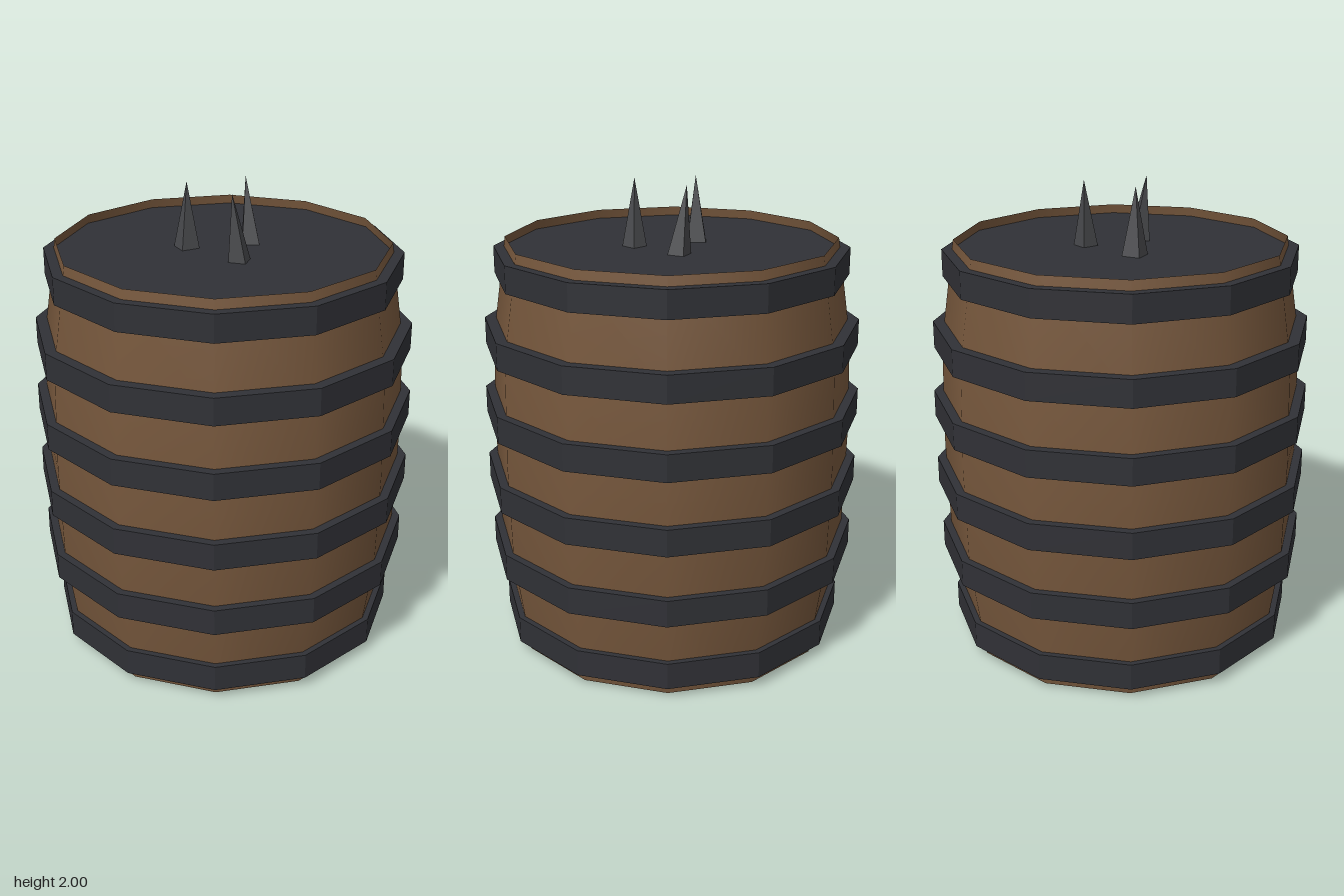
import * as THREE from 'three';

const SIDES = 12;

export function createModel() {
  const group = new THREE.Group();
  const wood = new THREE.MeshStandardMaterial({ color: 0x76573c, side: THREE.DoubleSide });
  const iron = new THREE.MeshStandardMaterial({ color: 0x303136, flatShading: true });
  const spikeMetal = new THREE.MeshStandardMaterial({ color: 0x48494c, flatShading: true });

  const add = (name, geometry, material, y = 0) => {
    const mesh = new THREE.Mesh(geometry, material);
    mesh.name = name;
    mesh.position.y = y;
    group.add(mesh);
    return mesh;
  };

  // Bulging wooden wall, open at the top so its rim stands above the lid
  const profile = [[0.70, 0], [0.765, 0.44], [0.775, 0.88], [0.765, 1.32], [0.70, 1.76]]
    .map(([r, y]) => new THREE.Vector2(r, y));
  add('barrelWall', new THREE.LatheGeometry(profile, SIDES), wood);

  // Flat wooden base
  const base = new THREE.CircleGeometry(0.70, SIDES);
  base.rotateX(Math.PI / 2);
  add('barrelBase', base, wood);

  // Iron hoops; the top face of the highest one forms the dark lid inside the rim
  const radii = [0.75, 0.80, 0.81];
  for (let i = 0; i < 6; i++) {
    const radius = radii[Math.min(i, 5 - i)];
    const hoop = new THREE.CylinderGeometry(radius, radius, 0.115, SIDES);
    add('hoop' + (i + 1), hoop, iron, 0.107 + i * 0.311);
  }

  // Leaning four-sided spikes: base centre, tip, base radius, turn
  const lidY = 1.715, height = 2 - lidY;
  const spikes = [
    { base: [-0.115, -0.105], tip: [-0.115, -0.10], r: 0.057, turn: Math.PI / 4 },
    { base: [0.15, -0.035], tip: [0.14, -0.065], r: 0.052, turn: 0.33 },
    { base: [-0.005, 0.155], tip: [-0.04, 0.155], r: 0.052, turn: 0 },
  ];
  spikes.forEach((s, n) => {
    const cone = new THREE.ConeGeometry(s.r, height, 4);
    cone.rotateY(s.turn);
    cone.translate(0, height / 2, 0);
    const p = cone.attributes.position;
    for (let i = 0; i < p.count; i++) {
      const t = p.getY(i) / height;
      p.setX(i, p.getX(i) + THREE.MathUtils.lerp(s.base[0], s.tip[0], t));
      p.setZ(i, p.getZ(i) + THREE.MathUtils.lerp(s.base[1], s.tip[1], t));
    }
    cone.computeVertexNormals();
    add('spike' + (n + 1), cone, spikeMetal, lidY);
  });

  return group;
}
